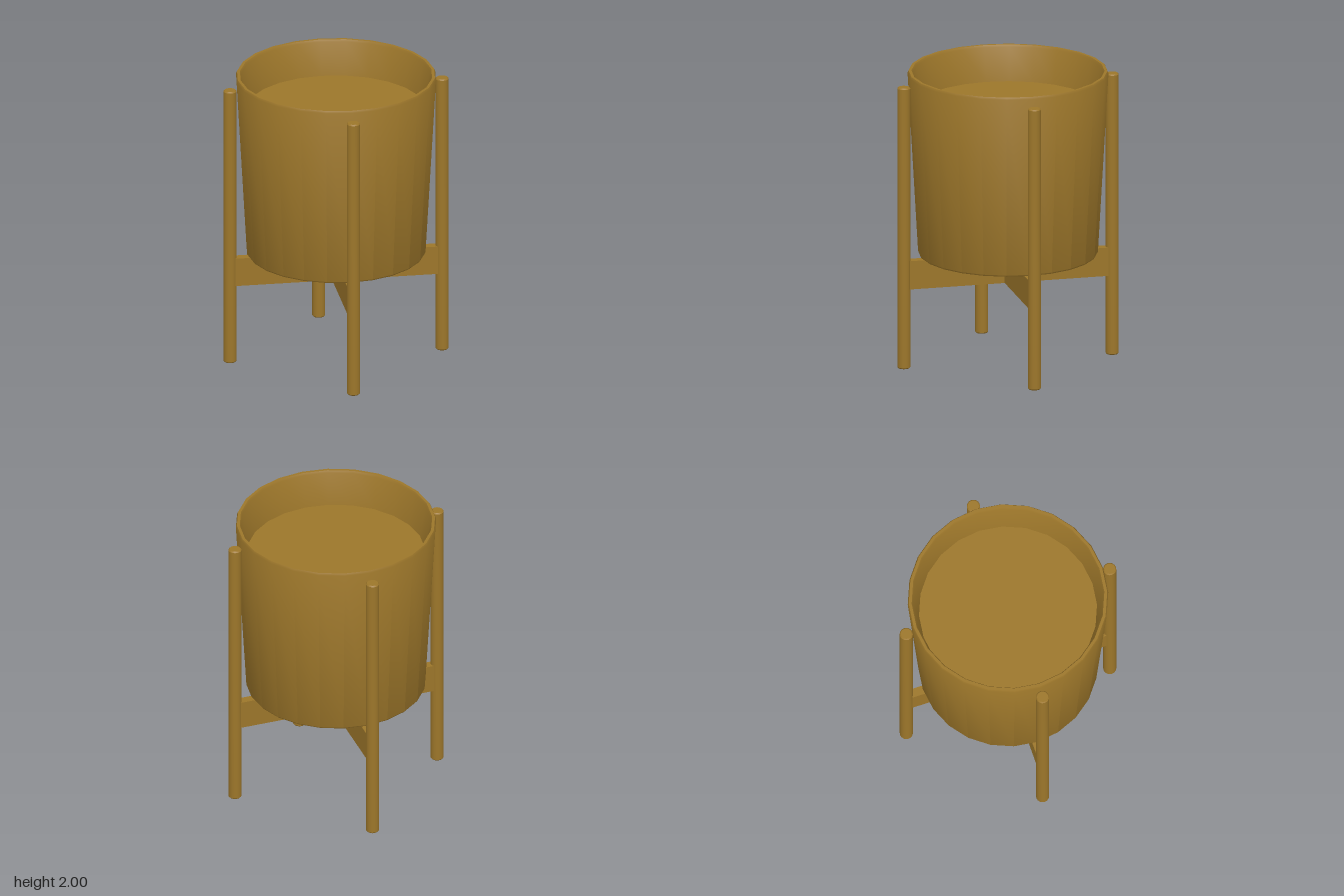
import * as THREE from 'three';
import { toCreasedNormals } from 'three/addons/utils/BufferGeometryUtils.js';

const wood = new THREE.MeshStandardMaterial({ color: 0x9c762a });

// Turned part from [radius, height] pairs, smooth around and creased at the rims
function turned(name, profile, sides) {
  const points = profile.map(([r, y]) => new THREE.Vector2(r, y));
  const geometry = toCreasedNormals(new THREE.LatheGeometry(points, sides), 0.6);
  const mesh = new THREE.Mesh(geometry, wood);
  mesh.name = name;
  return mesh;
}

export function createModel() {
  const model = new THREE.Group();
  model.name = 'plantStand';

  // Tapered pot: underside, outer wall, softened rim, inner wall and raised floor
  model.add(turned('pot', [
    [0, 0.745], [0.59, 0.745], [0.597, 0.755], [0.667, 1.985], [0.66, 2],
    [0.641, 2], [0.633, 1.985], [0.592, 1.76], [0, 1.76],
  ], 24));

  // Four round legs with slightly bevelled ends
  const legProfile = [
    [0, 0], [0.037, 0], [0.044, 0.008], [0.044, 1.927], [0.037, 1.935], [0, 1.935],
  ];
  for (let i = 0; i < 4; i++) {
    const angle = (i * Math.PI) / 2;
    const leg = turned('leg', legProfile, 16);
    leg.position.set(Math.sin(angle) * 0.713, 0, Math.cos(angle) * 0.713);
    model.add(leg);
  }

  // Two crossing bars that carry the pot
  for (let i = 0; i < 2; i++) {
    const bar = new THREE.Mesh(new THREE.BoxGeometry(1.36, 0.195, 0.06), wood);
    bar.name = 'crossBar';
    bar.position.y = 0.643;
    bar.rotation.y = (i * Math.PI) / 2;
    model.add(bar);
  }

  return model;
}
